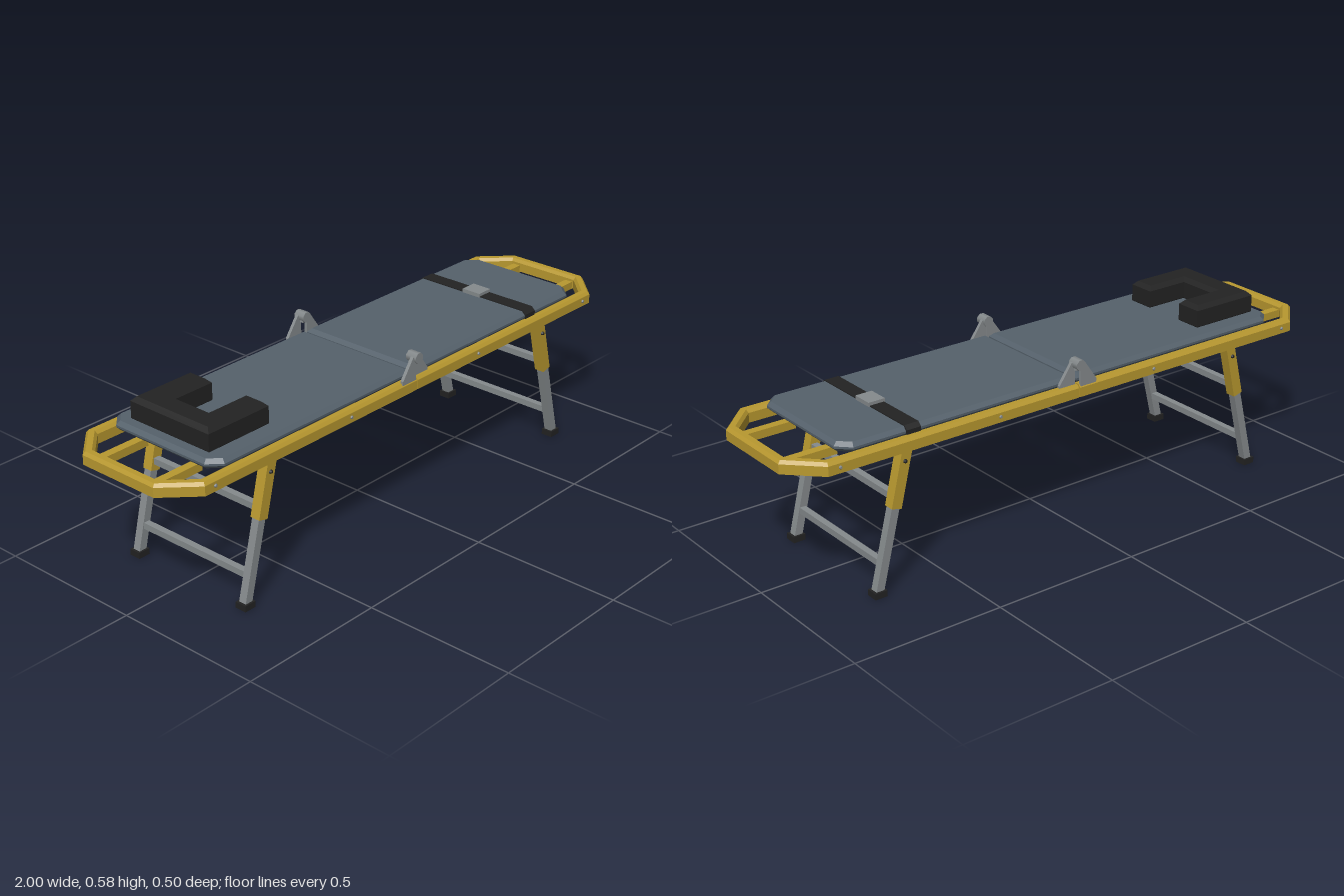
import * as THREE from 'three';

const mat = (name, color) => {
  const m = new THREE.MeshStandardMaterial({ color });
  m.name = name;
  return m;
};

export function createModel() {
  const yellow = mat('yellow paint', 0xb8982f);
  const slate = mat('slate padding', 0x55616b);
  const steel = mat('grey steel', 0x858a8c);
  const black = mat('black rubber', 0x222222);
  const root = new THREE.Group();

  const add = (parent, name, geo, material, x = 0, y = 0, z = 0) => {
    const m = new THREE.Mesh(geo, material);
    m.name = name;
    m.position.set(x, y, z);
    parent.add(m);
    return m;
  };
  const box = (parent, name, material, w, h, d, x, y, z) =>
    add(parent, name, new THREE.BoxGeometry(w, h, d), material, x, y, z);
  const polygon = (pts) => new THREE.Shape(pts.map(([x, y]) => new THREE.Vector2(x, y)));

  // Bevelled slab lying flat: the outline is given in x and z
  const slab = (parent, name, material, pts, y0, y1, bevel) => {
    const geo = new THREE.ExtrudeGeometry(polygon(pts), {
      depth: y1 - y0 - 2 * bevel, bevelEnabled: true, bevelSegments: 1,
      bevelSize: bevel, bevelThickness: bevel, bevelOffset: -bevel,
    });
    geo.rotateX(-Math.PI / 2);
    return add(parent, name, geo, material, 0, y0 + bevel, 0);
  };

  // Square bar between two points in the x-y plane
  const bar = (parent, name, material, a, b, size, z) => {
    const dx = b[0] - a[0], dy = b[1] - a[1];
    const m = box(parent, name, material, size, Math.hypot(dx, dy), size,
      (a[0] + b[0]) / 2, (a[1] + b[1]) / 2, z);
    m.rotation.z = Math.atan2(-dx, dy);
  };

  // Half of the frame rail: a chamfered section carried round the mitred outline
  const railHalf = () => {
    const section = [[0, 0.44], [0, 0.471], [0.008, 0.481], [0.026, 0.481], [0.034, 0.471], [0.034, 0.44]];
    const rows = section.map(([o, y]) => {
      const near = [[0.002, 0.245 - o], [0.9 - 0.414 * o, 0.245 - o], [1 - o, 0.145 - 0.414 * o]];
      const far = near.map(([x, z]) => [x, -z]).reverse();
      return [...near, ...far].map(([x, z]) => [x, y, z]);
    });
    const pos = [];
    const n = rows.length;
    for (let i = 0; i < n; i++) {
      const a = rows[i], b = rows[(i + 1) % n];
      for (let j = 0; j < 5; j++) {
        pos.push(...a[j], ...a[j + 1], ...b[j + 1], ...a[j], ...b[j + 1], ...b[j]);
      }
    }
    // End caps at the fold
    for (let i = 1; i < n - 1; i++) {
      pos.push(...rows[0][0], ...rows[i][0], ...rows[i + 1][0]);
      pos.push(...rows[0][5], ...rows[i + 1][5], ...rows[i][5]);
    }
    const geo = new THREE.BufferGeometry();
    geo.setAttribute('position', new THREE.Float32BufferAttribute(pos, 3));
    geo.computeVertexNormals();
    return geo;
  };

  // Two halves, the second turned half a circle about the fold
  for (const [name, turn] of [['rightEndHalf', 0], ['leftEndHalf', Math.PI]]) {
    const half = new THREE.Group();
    half.name = name;
    half.rotation.y = turn;
    root.add(half);

    add(half, 'frameRail', railHalf(), yellow);
    slab(half, 'mattress', slate, [[0.006, -0.221], [0.8, -0.221], [0.84, -0.181],
      [0.84, 0.181], [0.8, 0.221], [0.006, 0.221]], 0.474, 0.505, 0.012);

    for (const s of [-1, 1]) {
      // Handles joining the mattress to the end rail
      box(half, 'handleBar', yellow, 0.18, 0.026, 0.028, 0.885, 0.45, s * 0.112);

      // Telescopic leg
      const z = s * 0.2255;
      bar(half, 'legTube', steel, [0.645, 0.4], [0.741, 0.012], 0.027, z);
      bar(half, 'legSleeve', yellow, [0.632, 0.452], [0.676, 0.27], 0.035, z);
      box(half, 'foot', black, 0.042, 0.02, 0.04, 0.74, 0.01, z);

      // Bolts on the rail and leg
      for (const [x, y] of [[0.3, 0.458], [0.86, 0.458], [0.642, 0.413]]) {
        const bolt = add(half, 'bolt',
          new THREE.CylinderGeometry(0.004, 0.008, 0.008, 6).rotateX(s * Math.PI / 2),
          steel, x, y, s * 0.2455);
        if (y < 0.44) bolt.material = black;
      }

      // Hinge plate: outer on one half, inner on the other
      const plate = new THREE.ExtrudeGeometry(
        polygon([[0.006, 0.475], [0.066, 0.475], [0.066, 0.488], [0.02, 0.553], [-0.01, 0.56], [-0.014, 0.53], [0.006, 0.53]]),
        { depth: 0.011, bevelEnabled: false });
      add(half, 'hingePlate', plate, steel, 0, 0, s * (turn ? 0.239 : 0.225) - 0.0055);
    }

    // Cross bars between the legs
    for (const y of [0.302, 0.1]) {
      const x = 0.632 + (0.452 - y) * 0.2475;
      box(half, 'crossBar', steel, 0.022, 0.021, 0.43, x, y, 0);
    }
  }

  // Hinge pins
  for (const s of [-1, 1]) {
    add(root, 'hingePin',
      new THREE.CylinderGeometry(0.018, 0.018, 0.039, 8).rotateX(Math.PI / 2).rotateZ(Math.PI / 8),
      steel, 0, 0.547, s * 0.2325);
  }

  // Head support with a notch open towards the middle
  slab(root, 'headSupport', black, [[-0.8, -0.16], [-0.56, -0.16], [-0.56, -0.071], [-0.71, -0.071],
    [-0.71, 0.071], [-0.56, 0.071], [-0.56, 0.16], [-0.8, 0.16]], 0.494, 0.577, 0.014);

  // Strap following the mattress edge, with its buckle
  const strap = polygon([[-0.224, 0.482], [-0.224, 0.496], [-0.211, 0.508], [0.211, 0.508], [0.224, 0.496],
    [0.224, 0.482], [0.218, 0.482], [0.218, 0.492], [0.208, 0.502], [-0.208, 0.502], [-0.218, 0.492], [-0.218, 0.482]]);
  add(root, 'strap',
    new THREE.ExtrudeGeometry(strap, { depth: 0.05, bevelEnabled: false }).rotateY(Math.PI / 2),
    black, 0.571, 0, 0);
  box(root, 'buckle', steel, 0.058, 0.016, 0.07, 0.596, 0.51, 0);

  return root;
}
